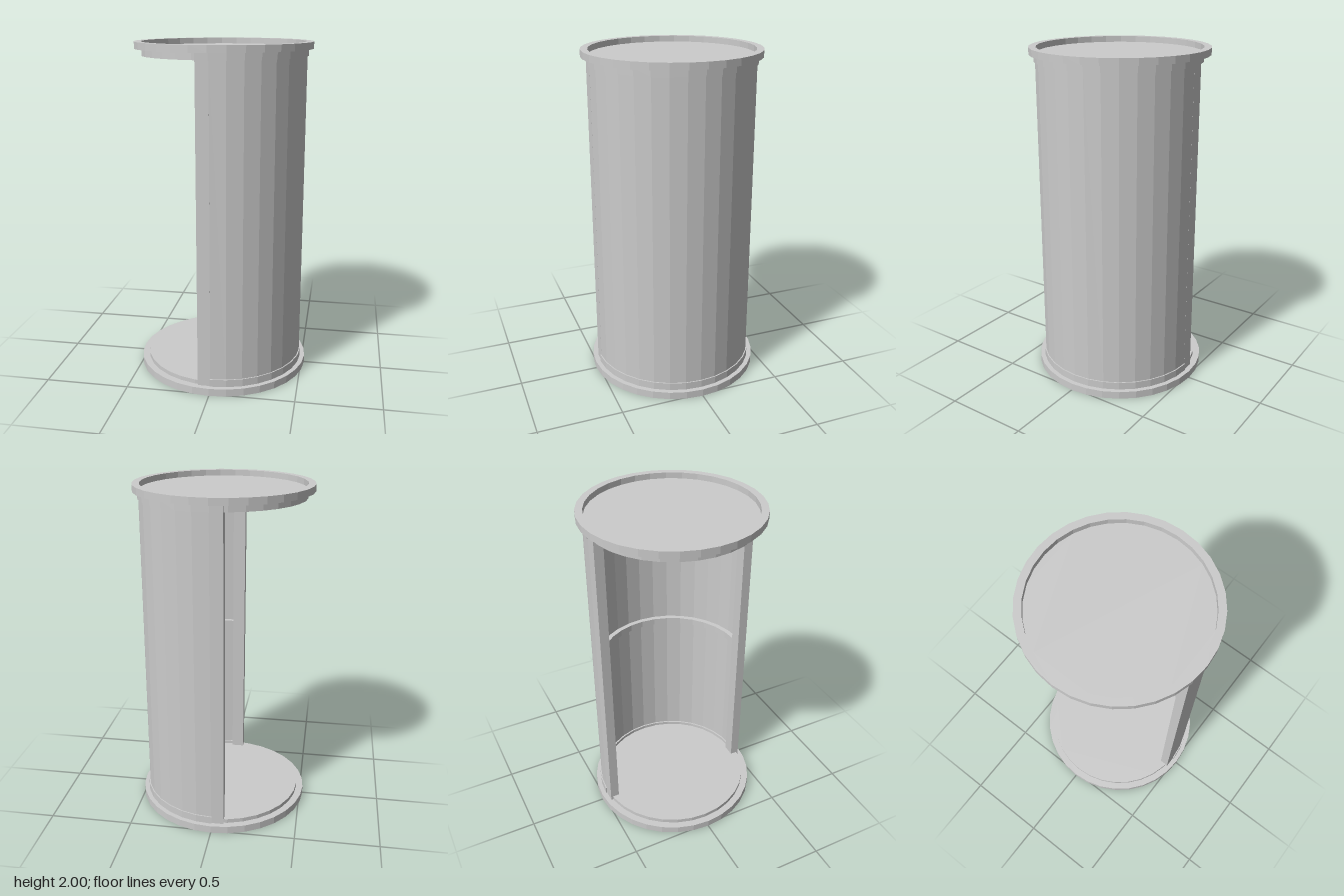
import * as THREE from 'three';

const SIDES = 32;
const material = new THREE.MeshStandardMaterial({ color: 0xcccccc, flatShading: true });

// Points on the 32-sided circle, from side index a to side index b
function arc(radius, a, b) {
  const points = [];
  const step = Math.sign(b - a);
  for (let i = a; i !== b + step; i += step) {
    const t = (i / SIDES) * Math.PI * 2;
    points.push(new THREE.Vector2(radius * Math.cos(t), radius * Math.sin(t)));
  }
  return points;
}

// Raise a plan outline from y0 to y1
function raise(shape, y0, y1) {
  const geometry = new THREE.ExtrudeGeometry(shape, { depth: y1 - y0, bevelEnabled: false });
  return geometry.rotateX(-Math.PI / 2).translate(0, y0, 0);
}

// Half ring on the +x side
function halfRing(inner, outer, y0, y1) {
  const q = SIDES / 4;
  return raise(new THREE.Shape([...arc(outer, -q, q), ...arc(inner, q, -q)]), y0, y1);
}

// Full ring with a round opening
function fullRing(inner, outer, y0, y1) {
  const shape = new THREE.Shape(arc(outer, 0, SIDES - 1));
  shape.holes.push(new THREE.Path(arc(inner, 0, SIDES - 1)));
  return raise(shape, y0, y1);
}

function disc(radius, y0, y1) {
  return raise(new THREE.Shape(arc(radius, 0, SIDES - 1)), y0, y1);
}

export function createModel() {
  const group = new THREE.Group();
  const add = (name, geometry) => {
    const mesh = new THREE.Mesh(geometry, material);
    mesh.name = name;
    group.add(mesh);
  };

  // Recessed plates with their raised rims
  add('baseRim', fullRing(0.478, 0.52, 0, 0.045));
  add('basePlate', disc(0.478, 0.035, 0.07));
  add('topRim', fullRing(0.478, 0.52, 1.96, 2));
  add('topPlate', disc(0.478, 1.92, 1.965));

  // Half-round wall with collars at both ends and a rib inside
  add('wall', halfRing(0.46, 0.485, 0.045, 1.96));
  add('lowerCollar', halfRing(0.45, 0.492, 0.045, 0.09));
  add('upperCollar', halfRing(0.45, 0.492, 1.92, 1.96));
  add('middleRib', halfRing(0.43, 0.465, 0.975, 1.015));

  // Posts framing the open side
  for (const side of [1, -1]) {
    const post = new THREE.BoxGeometry(0.075, 1.915, 0.055);
    add(side > 0 ? 'frontPost' : 'backPost', post.translate(-0.0345, 1.0025, side * 0.4575));
  }
  return group;
}
